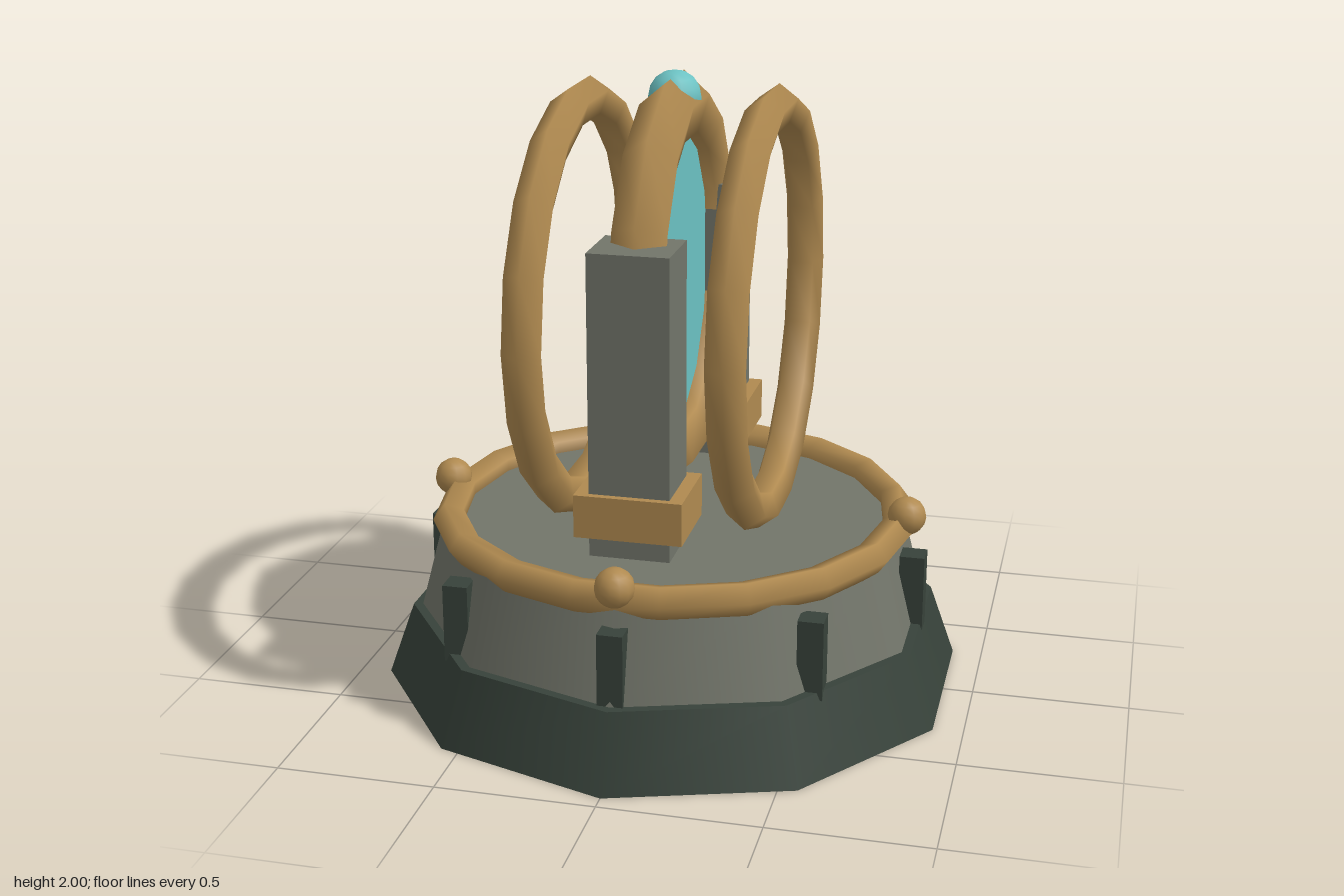
import * as THREE from 'three';

const mat = (name, color) => {
  const m = new THREE.MeshStandardMaterial({ color });
  m.name = name;
  return m;
};

export function createModel() {
  const group = new THREE.Group();
  const darkStone = mat('dark stone', 0x37423a);
  const greyStone = mat('grey stone', 0x72756a);
  const bronze = mat('bronze', 0xb08a50);
  const teal = mat('teal crystal', 0x6cc2c3);

  const add = (name, geometry, material, x = 0, y = 0, z = 0) => {
    const mesh = new THREE.Mesh(geometry, material);
    mesh.name = name;
    mesh.position.set(x, y, z);
    group.add(mesh);
    return mesh;
  };

  // Ten-sided plinth and tapered drum
  add('plinth', new THREE.CylinderGeometry(0.865, 0.95, 0.24, 10), darkStone, 0, 0.12);
  add('drum', new THREE.CylinderGeometry(0.756, 0.837, 0.31, 10), greyStone, 0, 0.385);

  // Eight square lugs around the drum
  const lug = new THREE.BoxGeometry(0.08, 0.255, 0.08);
  for (let i = 0; i < 8; i++) {
    const a = (i * Math.PI) / 4;
    add('lug', lug, darkStone, 0.79 * Math.sin(a), 0.3425, 0.79 * Math.cos(a));
  }

  // Rim ring with four studs
  add('rimRing', new THREE.TorusGeometry(0.735, 0.055, 5, 18).rotateX(Math.PI / 2), bronze, 0, 0.548);
  const stud = new THREE.SphereGeometry(0.062, 12, 8);
  for (let i = 0; i < 4; i++) {
    const a = (i * Math.PI) / 2;
    add('rimStud', stud, bronze, 0.764 * Math.sin(a), 0.597, 0.764 * Math.cos(a));
  }

  // Front and back pillars with collars
  for (const s of [1, -1]) {
    add('pillar', new THREE.BoxGeometry(0.25, 0.945, 0.22), greyStone, 0, 1.0875, s * 0.48);
    add('pillarCollar', new THREE.BoxGeometry(0.335, 0.135, 0.27), bronze, 0, 0.7475, s * 0.477);
  }

  // Pair of upright side rings
  const sideRing = new THREE.TorusGeometry(0.64, 0.065, 5, 18).rotateY(Math.PI / 2);
  for (const s of [1, -1]) add('sideRing', sideRing, bronze, s * 0.305, 1.255);

  // Tall oval portal frame, its crystal pane and the crowning gem
  const frame = new THREE.TorusGeometry(0.47, 0.09, 5, 14).rotateY(Math.PI / 2).scale(1, 1.18, 1);
  add('portalFrame', frame, bronze, 0, 1.335);
  const pane = new THREE.CylinderGeometry(1, 1, 0.03, 20).rotateZ(Math.PI / 2).scale(1, 0.6, 0.42);
  add('portalPane', pane, teal, 0, 1.265);
  add('crownGem', new THREE.SphereGeometry(0.085, 12, 8), teal, 0, 1.915);

  return group;
}
